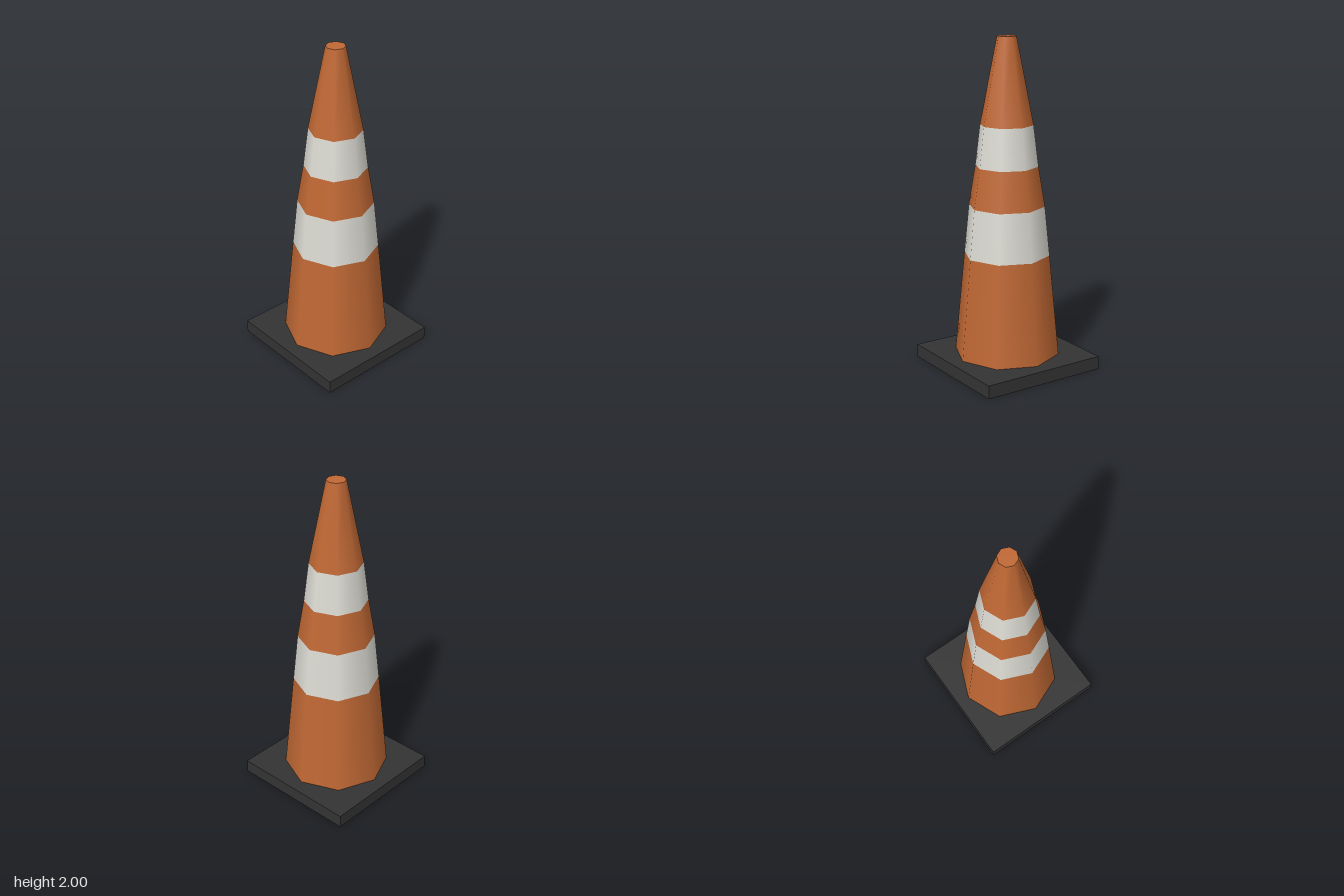
import * as THREE from 'three';

const material = (name, color) => {
  const m = new THREE.MeshStandardMaterial({ color });
  m.name = name;
  return m;
};

export function createModel() {
  const orange = material('orange plastic', 0xc06834);
  const white = material('off-white band', 0xdddcd4);
  const black = material('black rubber', 0x333333);

  const model = new THREE.Group();
  model.name = 'trafficCone';

  // Square foot
  const base = new THREE.Mesh(new THREE.BoxGeometry(0.8, 0.08, 0.8), black);
  base.name = 'base';
  base.position.y = 0.04;
  model.add(base);

  // Eight-sided tapering body, stacked from the foot up:
  // name, material, bottom y, top y, bottom radius, top radius
  const sections = [
    ['lowerBody', orange, 0.08, 0.7, 0.32, 0.26],
    ['lowerBand', white, 0.7, 1.0, 0.26, 0.23],
    ['middleBody', orange, 1.0, 1.24, 0.23, 0.19],
    ['upperBand', white, 1.24, 1.485, 0.19, 0.16],
    ['tip', orange, 1.485, 2.0, 0.16, 0.058],
  ];
  for (const [name, mat, y0, y1, r0, r1] of sections) {
    // Only the tip needs its flat end
    const open = name !== 'tip';
    const mesh = new THREE.Mesh(new THREE.CylinderGeometry(r1, r0, y1 - y0, 8, 1, open), mat);
    mesh.name = name;
    mesh.position.y = (y0 + y1) / 2;
    model.add(mesh);
  }
  return model;
}
